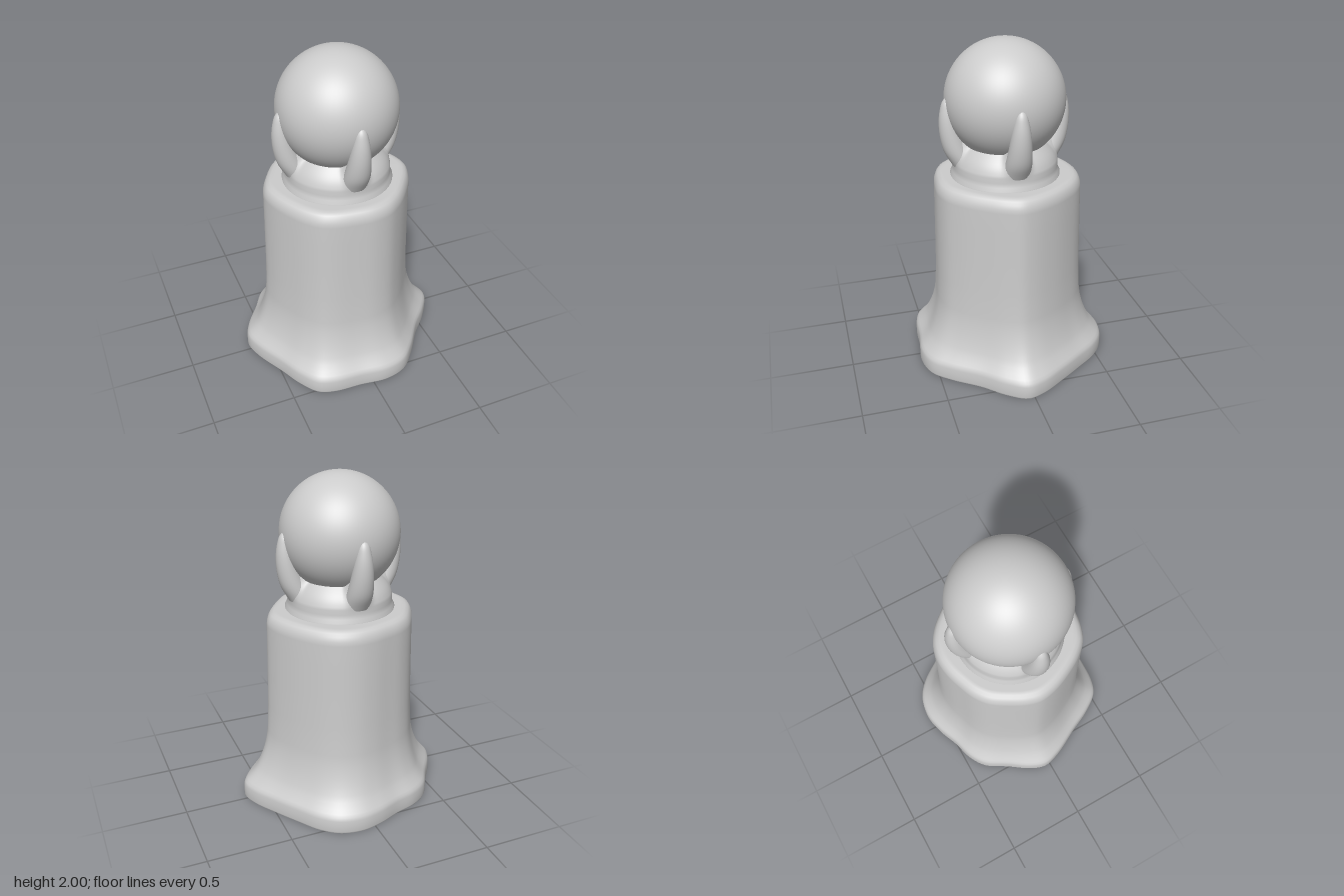
import * as THREE from 'three';

const material = new THREE.MeshStandardMaterial({ color: 0xcccccc });

// Skin a stack of closed rings: point(row, column) returns [x, y, z].
function loft(name, rows, columns, point) {
  const positions = [], index = [];
  for (let i = 0; i < rows; i++)
    for (let j = 0; j < columns; j++) positions.push(...point(i, j));
  for (let i = 0; i < rows - 1; i++)
    for (let j = 0; j < columns; j++) {
      const k = (j + 1) % columns;
      const a = i * columns + j, b = i * columns + k;
      const c = b + columns, d = a + columns;
      index.push(a, b, c, a, c, d);
    }
  const geometry = new THREE.BufferGeometry();
  geometry.setAttribute('position', new THREE.Float32BufferAttribute(positions, 3));
  geometry.setIndex(index);
  geometry.computeVertexNormals();
  const mesh = new THREE.Mesh(geometry, material);
  mesh.name = name;
  return mesh;
}

// Wavy six-cornered foot outline (x, z), counter-clockwise from above.
const outline = new THREE.CatmullRomCurve3([
  [0.62, 0.04], [0.593, -0.067], [0.503, -0.217], [0.41, -0.357], [0.32, -0.483],
  [0.22, -0.56], [0.087, -0.587], [-0.047, -0.56], [-0.18, -0.507], [-0.313, -0.467],
  [-0.413, -0.4], [-0.497, -0.267], [-0.587, -0.133], [-0.62, -0.033], [-0.59, 0.083],
  [-0.497, 0.267], [-0.43, 0.407], [-0.347, 0.517], [-0.247, 0.553], [-0.08, 0.563],
  [0.087, 0.58], [0.22, 0.543], [0.32, 0.443], [0.437, 0.283], [0.553, 0.157],
].map(([x, z]) => new THREE.Vector3(x, 0, z)), true);

// Body section: spread 1 is the foot outline, 0 the rounder upper column.
function bodyPoint(u, y, spread, scale) {
  const p = outline.getPoint(u);
  const foot = Math.hypot(p.x, p.z);
  const column = 0.432 + 0.32 * (foot - 0.575);
  const r = THREE.MathUtils.lerp(column, foot, spread) * scale;
  return [p.x / foot * r - 0.01 * (1 - spread), y, p.z / foot * r];
}

export function createModel() {
  const group = new THREE.Group();
  const N = 144;

  // Flared body: y, spread, scale
  const body = [
    [0, 1, 0.992], [0.01, 1, 1], [0.045, 1, 1], [0.08, 1, 0.998], [0.1, 0.95, 1],
    [0.115, 0.87, 1], [0.135, 0.76, 1], [0.165, 0.61, 1], [0.2, 0.48, 1], [0.25, 0.35, 1],
    [0.3, 0.25, 1], [0.36, 0.16, 1], [0.43, 0.1, 1], [0.6, 0.05, 1], [0.8, 0.03, 1],
    [1, 0.01, 1], [1.12, 0, 1], [1.145, 0, 0.995], [1.17, 0, 0.975], [1.188, 0, 0.945],
    [1.198, 0, 0.9], [1.2, 0, 0.85], [1.2, 0, 0.6], [1.2, 0, 0],
  ];
  group.add(loft('body', body.length, N, (i, j) => bodyPoint(j / N, ...body[i])));
  group.add(loft('underside', 2, N, (i, j) => bodyPoint(j / N, 0, 1, i * 0.992)));

  // Ball and its holder share an axis slightly off the body centre
  const top = new THREE.Group();
  top.name = 'ballAndHolder';
  top.position.set(-0.013, 0, 0.008);
  group.add(top);

  const R = 0.35, ballY = 1.65;
  const ball = new THREE.Mesh(new THREE.SphereGeometry(R, 64, 48), material);
  ball.name = 'ball';
  ball.position.y = ballY;
  top.add(ball);

  // Collar whose rim hugs the ball and rises towards each claw
  const sides = [[1.19, 0.325], [1.205, 0.325], [1.225, 0.314], [1.25, 0.31], [1.28, 0.31]];
  const rimSteps = 8;
  top.add(loft('collar', sides.length + rimSteps, N, (i, j) => {
    const a = j / N * Math.PI * 2;
    let y, r;
    if (i < sides.length) [y, r] = sides[i];
    else {
      const t = (i - sides.length + 1) / rimSteps;
      const rimY = 1.395 + 0.1 * Math.max(0, Math.cos(4 * a)) ** 3;
      const rimR = Math.sqrt(R * R - (ballY - rimY) ** 2) - 0.004;
      y = THREE.MathUtils.lerp(1.28, rimY, t);
      r = THREE.MathUtils.lerp(0.31, rimR, t) + 0.012 * Math.sin(Math.PI * t);
    }
    return [Math.cos(a) * r, y, -Math.sin(a) * r];
  }));

  // Four tapering claws: distance from axis, y, half width
  const spine = new THREE.CatmullRomCurve3([
    [0.235, 1.27, 0.08], [0.288, 1.36, 0.075], [0.318, 1.45, 0.066], [0.333, 1.54, 0.055],
    [0.337, 1.61, 0.042], [0.335, 1.66, 0.028], [0.33, 1.695, 0.001],
  ].map(p => new THREE.Vector3(...p)));
  const steps = 28, around = 24;
  for (let k = 0; k < 4; k++) {
    const claw = loft('claw', steps + 1, around, (i, j) => {
      const p = spine.getPoint(i / steps);
      const a = j / around * Math.PI * 2;
      return [p.x + Math.cos(a) * p.z, p.y, -Math.sin(a) * p.z];
    });
    claw.rotation.y = k * Math.PI / 2;
    top.add(claw);
  }
  return group;
}
